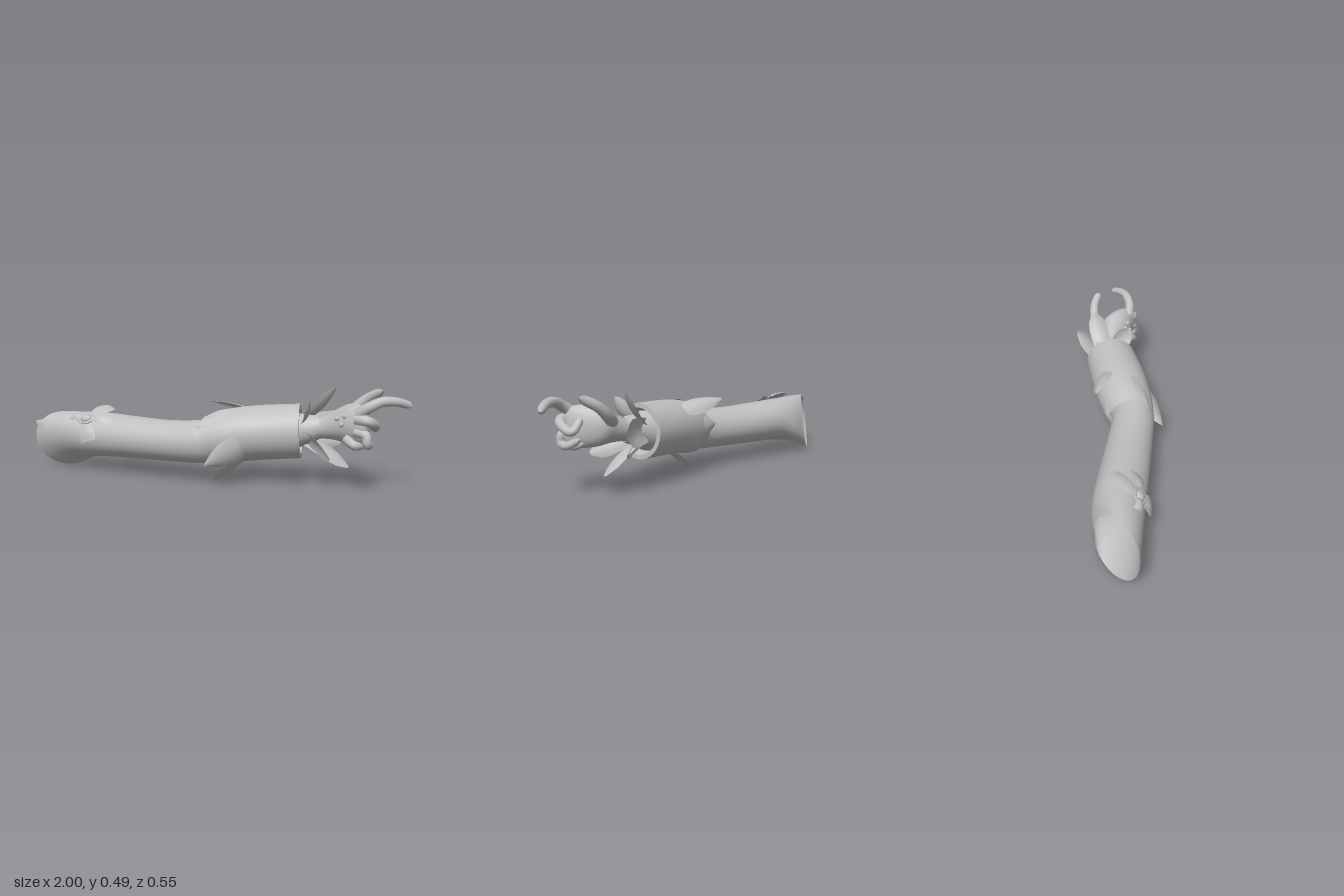
import * as THREE from 'three';
import { toCreasedNormals } from 'three/addons/utils/BufferGeometryUtils.js';

const V = (a) => new THREE.Vector3(...a);
const grey = new THREE.MeshStandardMaterial({ color: 0xbfbfbf, side: THREE.DoubleSide });
grey.name = 'plain grey';

// Grid of points (rows x cols) turned into a surface
function surface(rows, crease = 0.8) {
  const cols = rows[0].length, idx = [], pos = rows.flat().flatMap((p) => [p.x, p.y, p.z]);
  for (let i = 0; i < rows.length - 1; i++)
    for (let j = 0; j < cols - 1; j++) {
      const a = i * cols + j, b = a + cols;
      idx.push(a, a + 1, b, a + 1, b + 1, b);
    }
  const g = new THREE.BufferGeometry();
  g.setAttribute('position', new THREE.Float32BufferAttribute(pos, 3));
  g.setIndex(idx);
  return toCreasedNormals(g, crease);
}

// Skin over oval rings: [x, y, z, radiusY, radiusZ, slantZ, slantY, lean]
function loft(rings, smooth = 4, sides = 40) {
  const n = (rings.length - 1) * smooth, rows = [];
  const tracks = [0, 1, 2, 3, 4, 5, 6, 7].map((k) =>
    new THREE.CatmullRomCurve3(rings.map((r, i) => new THREE.Vector3(i, r[k] || 0, 0))));
  for (let i = 0; i <= n; i++) {
    const [x, y, z, ry, rz, kz, ky, lean] = tracks.map((c) => c.getPoint(i / n).y);
    const row = [];
    for (let j = 0; j <= sides; j++) {
      const a = (j / sides) * Math.PI * 2, dy = Math.cos(a) * ry, dz = Math.sin(a) * rz;
      row.push(new THREE.Vector3(x + kz * dz + ky * dy, y + dy + lean * dz, z + dz));
    }
    rows.push(row);
  }
  return surface(rows);
}

// Curved blade from base to tip; out is the side it bulges towards
function blade(base, tip, out, width, profile, bulge, cup) {
  const b = V(base), t = V(tip), o = V(out).normalize();
  const side = t.clone().sub(b).cross(o).normalize();
  const rows = [], n = 14;
  for (let i = 0; i <= n; i++) {
    const u = i / n, row = [];
    const f = u * (profile.length - 1), k = Math.min(Math.floor(f), profile.length - 2);
    const w = width * THREE.MathUtils.lerp(profile[k], profile[k + 1], f - k);
    for (let j = -3; j <= 3; j++) {
      const s = j / 3;
      row.push(b.clone().lerp(t, u).addScaledVector(side, s * w)
        .addScaledVector(o, bulge * Math.sin(Math.PI * u) - cup * s * s * w / width));
    }
    rows.push(row);
  }
  return surface(rows, 1.2);
}

// Tapered round-ended finger along a path
function finger(points, radius) {
  const n = 32, sides = 12, curve = new THREE.CatmullRomCurve3(points.map(V));
  const g = new THREE.TubeGeometry(curve, n, radius, sides);
  const p = g.attributes.position, v = new THREE.Vector3();
  for (let i = 0; i <= n; i++) {
    const t = i / n, c = curve.getPointAt(t), e = Math.max(0, (t - 0.88) / 0.12);
    const s = (1 - 0.35 * t) * Math.sqrt(Math.max(0, 1 - e * e));
    for (let j = 0; j <= sides; j++) {
      const k = i * (sides + 1) + j;
      v.fromBufferAttribute(p, k).sub(c).multiplyScalar(s).add(c);
      p.setXYZ(k, v.x, v.y, v.z);
    }
  }
  return g;
}

export function createModel() {
  const model = new THREE.Group();
  const add = (name, geometry, parent = model) => {
    const m = new THREE.Mesh(geometry, grey);
    m.name = name;
    parent.add(m);
    return m;
  };
  const group = (name) => {
    const g = new THREE.Group();
    g.name = name;
    model.add(g);
    return g;
  };

  // Upper sleeve with slanted shoulder opening
  add('upperSleeve', loft([
    [-0.875, 0.163, 0.115, 0.15, 0.117, -1.05, 0.2, 0.35],
    [-0.76, 0.187, 0.105, 0.132, 0.126, -0.75, 0.1, 0.2],
    [-0.6, 0.2, 0.105, 0.12, 0.125, -0.2],
    [-0.4, 0.2, 0.11, 0.112, 0.122, 0],
    [-0.2, 0.2, 0.115, 0.108, 0.116, 0],
    [0, 0.212, 0.115, 0.113, 0.11, 0.1],
    [0.12, 0.24, 0.07, 0.11, 0.11, 0.25],
  ]));
  add('shoulderPoint', blade([-0.92, 0.22, 0.222], [-1, 0.272, 0.23], [0, 0.2, 1], 0.05,
    [1, 0.85, 0.5, 0], 0.004, 0.008));

  // Forearm cuff with a thick open end
  const end = [0.455, 0.275, -0.05, 0.138, 0.133, 0.27, -0.04];
  const inner = [0.455, 0.275, -0.05, 0.116, 0.112, 0.27, -0.04];
  add('forearmCuff', loft([
    [-0.01, 0.222, 0.11, 0.118, 0.115, 0.2, 0],
    [0.1, 0.242, 0.07, 0.138, 0.133, 0.27, 0],
    [0.25, 0.262, 0.02, 0.14, 0.14, 0.27, -0.02],
    end,
  ], 6));
  add('cuffRim', loft([end, inner], 1));
  add('cuffLining', loft([inner, [0.4, 0.27, -0.035, 0.1, 0.1, 0.27, 0]], 1));

  // Pointed leaves around the elbow
  const leaves = group('elbowLeaves');
  [
    [[0.2, 0.362, -0.06], [-0.06, 0.395, -0.072], [0, 0.85, -0.6], 0.055],
    [[0.2, 0.36, 0.12], [-0.03, 0.3, 0.2], [0, 0.6, 0.8], 0.07],
    [[0.24, 0.22, 0.157], [0.065, 0.12, 0.275], [0.2, -0.4, 1], 0.07],
    [[0.2, 0.13, 0.06], [0.03, 0.003, 0.1], [0.1, -1, 0.2], 0.075],
    [[0.22, 0.16, -0.06], [0.02, 0.11, 0.03], [0, -0.8, -0.6], 0.065],
    [[0.12, 0.25, -0.065], [-0.07, 0.25, -0.008], [-0.3, 0.1, -1], 0.06],
  ].forEach(([b, t, o, w]) =>
    add('elbowLeaf', blade(b, t, o, w, [0.55, 0.95, 1, 0.85, 0.5, 0], 0.01, 0.022), leaves));

  // Flaring petals around the wrist, held by a collar
  const petals = group('wristPetals');
  add('petalCollar', loft([
    [0.41, 0.272, -0.04, 0.1, 0.098, 0.27],
    [0.48, 0.283, -0.052, 0.078, 0.075, 0.25],
    [0.55, 0.297, -0.06, 0.06, 0.056, 0.2],
  ], 3), petals);
  [
    [[0.47, 0.33, -0.09], [0.6, 0.487, -0.165], 0.055],
    [[0.46, 0.29, -0.11], [0.67, 0.31, -0.275], 0.068],
    [[0.48, 0.24, -0.07], [0.69, 0.1, -0.11], 0.064],
    [[0.48, 0.33, -0.03], [0.53, 0.435, 0.045], 0.05],
    [[0.49, 0.26, -0.02], [0.65, 0.17, 0.08], 0.058],
    [[0.47, 0.25, -0.1], [0.62, 0.2, -0.2], 0.05],
  ].forEach(([b, t, w]) => {
    const out = [-0.25, t[1] - 0.28, t[2] + 0.06];
    add('wristPetal', blade(b, t, out, w, [0.85, 0.95, 1, 1, 0.8, 0.2], -0.015, -0.018), petals);
  });

  // Wrist and palm
  const hand = group('hand');
  add('palm', loft([
    [0.42, 0.275, -0.045, 0.068, 0.064, 0.2],
    [0.54, 0.295, -0.06, 0.056, 0.052, 0.2],
    [0.62, 0.315, -0.06, 0.072, 0.064, 0.15],
    [0.7, 0.33, -0.05, 0.098, 0.085, 0.1],
    [0.77, 0.33, -0.015, 0.1, 0.066, 0.05],
    [0.81, 0.325, 0.015, 0.075, 0.04, 0],
    [0.82, 0.325, 0.015, 0.002, 0.002, 0],
  ], 5, 28), hand);

  // Fingers and thumb
  [
    ['thumb', [[0.62, 0.34, -0.08], [0.69, 0.385, -0.165], [0.755, 0.44, -0.183], [0.84, 0.487, -0.165]], 0.033],
    ['indexFinger', [[0.76, 0.385, 0.02], [0.82, 0.425, 0.022], [0.875, 0.452, 0], [0.93, 0.452, -0.035], [0.995, 0.428, -0.1]], 0.029],
    ['middleFinger', [[0.76, 0.365, 0.03], [0.82, 0.36, 0.042], [0.84, 0.34, 0], [0.825, 0.318, -0.068], [0.77, 0.375, -0.06]], 0.028],
    ['ringFinger', [[0.76, 0.305, 0.03], [0.815, 0.29, 0.045], [0.82, 0.25, 0.045], [0.82, 0.242, 0], [0.78, 0.275, -0.06]], 0.026],
    ['littleFinger', [[0.71, 0.265, 0.02], [0.76, 0.24, 0.045], [0.78, 0.236, 0], [0.77, 0.25, -0.04], [0.73, 0.275, -0.05]], 0.025],
  ].forEach(([name, path, r]) => add(name, finger(path, r), hand));

  // Small studs on the back of the hand
  [[0.66, 0.36, 0.012], [0.7, 0.375, 0.022], [0.69, 0.335, 0.035]].forEach((p) => {
    const s = add('handStud', new THREE.SphereGeometry(0.012, 12, 8), hand);
    s.position.set(...p);
  });

  // Bow on the upper sleeve
  const bow = group('sleeveBow'), centre = [-0.68, 0.295, 0.195];
  [
    [[-0.61, 0.355, 0.07], [0, 1, 0.4], 0.047],
    [[-0.53, 0.3, 0.18], [0, 1, 1], 0.035],
    [[-0.635, 0.185, 0.26], [0, 0.4, 1], 0.045],
    [[-0.775, 0.305, 0.205], [0, 1, 1], 0.022],
  ].forEach(([tip, out, w]) => {
    for (const lift of [0.02, 0.004])
      add('bowLoop', blade(centre, tip, out, w, [0.35, 0.55, 0.75, 0.95, 1], lift, 0.008), bow);
  });
  const knot = add('bowKnot', new THREE.SphereGeometry(0.026, 20, 12), bow);
  const ring = add('bowRing', new THREE.TorusGeometry(0.032, 0.008, 8, 24), bow);
  [knot, ring].forEach((m) => {
    m.position.set(-0.68, 0.3, 0.203);
    m.rotation.x = -Math.PI / 4;
    m.scale.set(1.3, 1, 0.7);
  });

  return model;
}
